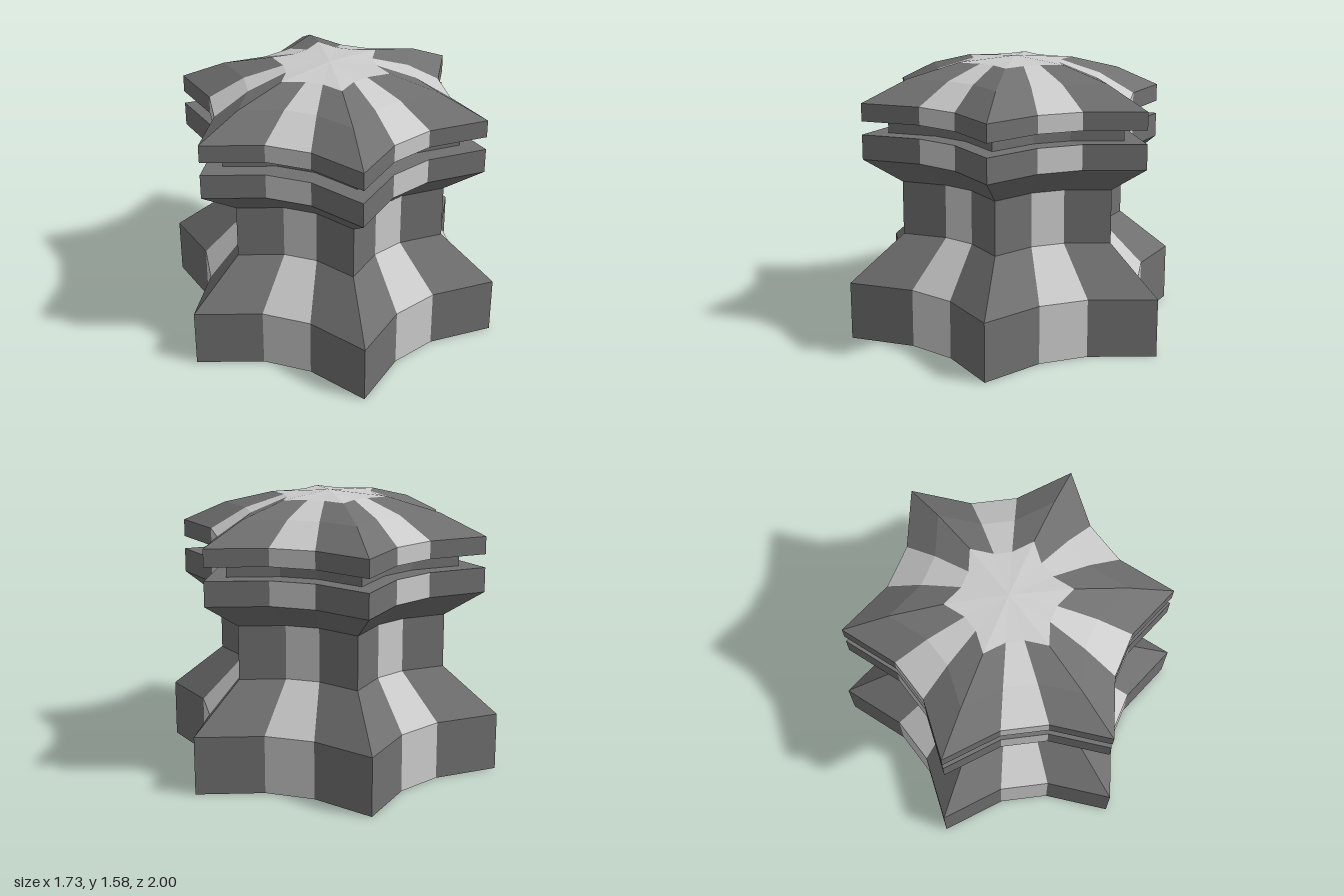
import * as THREE from 'three';

const LIGHT = 0xcccccc, DARK = 0x707070;

// Six-pointed star outline of radius 1: tip, then two valley corners, repeated
const star = [];
for (let i = 0; i < 6; i++) {
  for (const [deg, r] of [[0, 1], [19.1, 0.748], [40.9, 0.748]]) {
    const a = THREE.MathUtils.degToRad(i * 60 + deg);
    star.push([Math.sin(a) * r, Math.cos(a) * r]);
  }
}

const material = (color) => new THREE.MeshStandardMaterial({ color, flatShading: true });

// Walls between successive [scale, y] rings, limited to the chosen facets
function starWalls(profile, useFacet) {
  const pos = [];
  const point = ([s, y], [x, z]) => [x * s, y, z * s];
  for (let k = 0; k < profile.length - 1; k++) {
    const lo = profile[k], hi = profile[k + 1];
    star.forEach((p, i) => {
      if (!useFacet(i)) return;
      const q = star[(i + 1) % star.length];
      const a = point(lo, p), b = point(lo, q), c = point(hi, q), d = point(hi, p);
      if (lo[0] > 0) pos.push(...a, ...b, ...c);
      if (hi[0] > 0) pos.push(...a, ...c, ...d);
      else if (lo[0] === 0) pos.push(...a, ...c, ...d);
    });
  }
  const geo = new THREE.BufferGeometry();
  geo.setAttribute('position', new THREE.Float32BufferAttribute(pos, 3));
  geo.computeVertexNormals();
  return geo;
}

const isValley = (i) => i % 3 === 1;

export function createModel() {
  const model = new THREE.Group();
  model.name = 'flutedStarPost';

  const addPlain = (name, profile, color) => {
    const mesh = new THREE.Mesh(starWalls(profile, () => true), material(color));
    mesh.name = name;
    model.add(mesh);
  };

  // Dark points with light valley strips
  const addStriped = (name, profile) => {
    const part = new THREE.Group();
    part.name = name;
    const points = new THREE.Mesh(starWalls(profile, (i) => !isValley(i)), material(DARK));
    points.name = name + 'Points';
    const valleys = new THREE.Mesh(starWalls(profile, isValley), material(LIGHT));
    valleys.name = name + 'Valleys';
    part.add(points, valleys);
    model.add(part);
  };

  // Underside, base block, sloped skirt and neck
  addStriped('base', [[0, 0], [1, 0], [1, 0.33], [0.68, 0.59], [0.68, 0.895]]);
  // Flare under the collar
  addPlain('flare', [[0.68, 0.895], [0.905, 1.04]], DARK);
  addStriped('collar', [[0.905, 1.04], [0.905, 1.18]]);
  // Recessed groove with its two ledges
  addPlain('groove', [[0.905, 1.18], [0.755, 1.18], [0.755, 1.255], [0.905, 1.255]], DARK);
  // Domed cap
  addStriped('cap', [[0.905, 1.255], [0.905, 1.355], [0.64, 1.475], [0.345, 1.55]]);
  addPlain('crown', [[0.345, 1.55], [0, 1.575]], LIGHT);

  return model;
}
